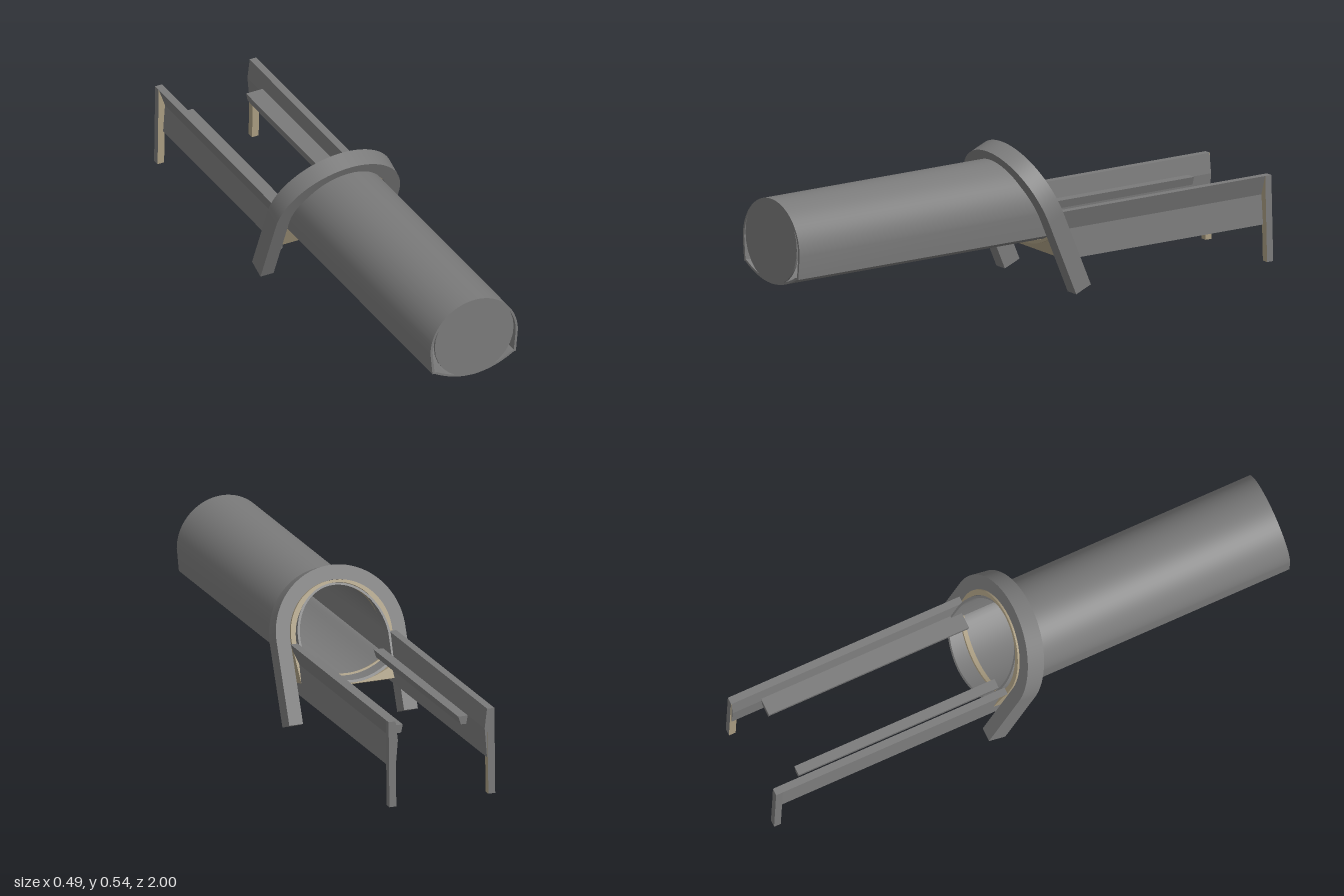
import * as THREE from 'three';
import { toCreasedNormals } from 'three/addons/utils/BufferGeometryUtils.js';

const TILT = 0.401; // lean of the collar
const V = (x, y) => new THREE.Vector2(x, y);

export function createModel() {
  const model = new THREE.Group();
  model.name = 'tunnelWithRails';
  const grey = new THREE.MeshStandardMaterial({ color: 0x7a7a7a, side: THREE.DoubleSide });
  grey.name = 'grey';
  const beige = new THREE.MeshStandardMaterial({ color: 0xa89b80, side: THREE.DoubleSide });
  beige.name = 'beige';

  const add = (parent, name, geometry, material) => {
    const mesh = new THREE.Mesh(geometry, material);
    mesh.name = name;
    parent.add(mesh);
    return mesh;
  };
  // Extrudes a shape between two z positions
  const slab = (shape, z0, z1) => {
    const g = new THREE.ExtrudeGeometry(shape, { depth: z1 - z0, bevelEnabled: false, curveSegments: 32 });
    return g.translate(0, 0, z0);
  };

  // Tunnel section: arched shell above a shallow trough
  const troughArc = (drop, n = 16) => {
    const pts = [];
    for (let i = 0; i <= n; i++) {
      const x = -0.155 + (0.31 * i) / n;
      pts.push(V(x, 0.178 - drop + 0.045 * (x / 0.155) ** 2));
    }
    return pts;
  };
  const section = (k) => {
    const pts = [...troughArc(0), V(0.165, 0.225)];
    for (let i = 0; i <= 40; i++) {
      const a = (Math.PI * i) / 40;
      pts.push(V(0.173 * Math.cos(a), 0.31 + 0.173 * Math.sin(a)));
    }
    pts.push(V(-0.165, 0.225));
    return pts.map((p) => V(p.x * k, 0.33 + (p.y - 0.33) * k));
  };

  // Hollow tunnel with a slanted rear mouth
  const tubeShape = new THREE.Shape(section(1));
  tubeShape.holes.push(new THREE.Path(section(0.95)));
  const tube = slab(tubeShape, 0, 1);
  const tp = tube.attributes.position;
  for (let i = 0; i < tp.count; i++) {
    if (tp.getZ(i) < 0.5) tp.setZ(i, -0.2 + (tp.getY(i) - 0.178) * 0.65);
  }
  add(model, 'tunnel', toCreasedNormals(tube, 0.5), grey);

  // Round cover closing the front
  const cover = add(model, 'frontCover', new THREE.CylinderGeometry(0.156, 0.156, 0.008, 28), grey);
  cover.rotation.x = Math.PI / 2;
  cover.scale.z = 0.98;
  cover.position.set(0, 0.33, 0.996);

  // Leaning collar group
  const collar = new THREE.Group();
  collar.name = 'collar';
  collar.position.set(0, 0.02, -0.13);
  collar.rotation.x = TILT;
  model.add(collar);

  const arch = new THREE.Shape();
  arch.moveTo(0.243, 0);
  arch.lineTo(0.243, 0.295);
  arch.absarc(0, 0.295, 0.243, 0, Math.PI, false);
  arch.lineTo(-0.243, 0);
  arch.lineTo(-0.191, 0);
  arch.lineTo(-0.191, 0.295);
  arch.absarc(0, 0.295, 0.191, Math.PI, 0, true);
  arch.lineTo(0.191, 0);
  arch.closePath();
  add(collar, 'collarArch', toCreasedNormals(slab(arch, -0.068, 0), 0.5), grey);

  // Liner plate fitted between collar and tunnel
  const plate = new THREE.Shape();
  plate.moveTo(-0.175, 0.116);
  plate.lineTo(0.175, 0.116);
  plate.lineTo(0.19, 0.27);
  plate.lineTo(0.19, 0.295);
  plate.absarc(0, 0.295, 0.19, 0, Math.PI, false);
  plate.lineTo(-0.19, 0.27);
  plate.closePath();
  const opening = section(0.965).map((p) => V(p.x, (p.y - 0.04) / Math.cos(TILT)));
  plate.holes.push(new THREE.Path(opening));
  add(collar, 'linerPlate', toCreasedNormals(slab(plate, -0.075, -0.03), 0.5), beige);

  // Lip under the trough
  const lip = new THREE.Shape([...troughArc(0.001), ...troughArc(0.013).reverse()]);
  add(model, 'troughLip', toCreasedNormals(slab(lip, -0.17, -0.08), 0.5), beige);

  for (const s of [1, -1]) {
    const side = s > 0 ? 'left' : 'right';

    // Bent side panel
    const panel = new THREE.Shape([
      [0.2, 0.312], [0.174, 0.24], [0.18, 0.132],
      [0.173, 0.132], [0.164, 0.24], [0.173, 0.312],
    ].map(([x, y]) => V(s * x, y)));
    add(model, side + 'Panel', slab(panel, -0.99, -0.1), grey);

    // Rear leg, grey outside and beige inside
    const leg = new THREE.BoxGeometry(0.026, 0.312, 0.026);
    leg.translate(s * 0.187, 0.156, -0.987);
    const lp = leg.attributes.position;
    for (let i = 0; i < lp.count; i++) {
      if (lp.getY(i) > 0.1) lp.setZ(i, lp.getZ(i) + 0.008);
    }
    const sides = s > 0 ? [grey, beige] : [beige, grey];
    add(model, side + 'RearLeg', leg, [...sides, grey, beige, beige, grey]);

    // Inner rail, wider on the left
    const [x0, x1] = s > 0 ? [0.1, 0.166] : [-0.146, -0.11];
    const rail = new THREE.Shape([
      V(x0, 0.255), V(x1, 0.255), V(x1 - 0.01, 0.225), V(x0 + 0.006, 0.225),
    ]);
    add(model, side + 'Rail', slab(rail, -0.88, -0.11), grey);

    // Small bracket at the trough edge
    const bracket = add(model, side + 'Bracket', new THREE.BoxGeometry(0.02, 0.012, 0.07), beige);
    bracket.position.set(s * 0.152, 0.219, -0.125);
  }
  return model;
}
